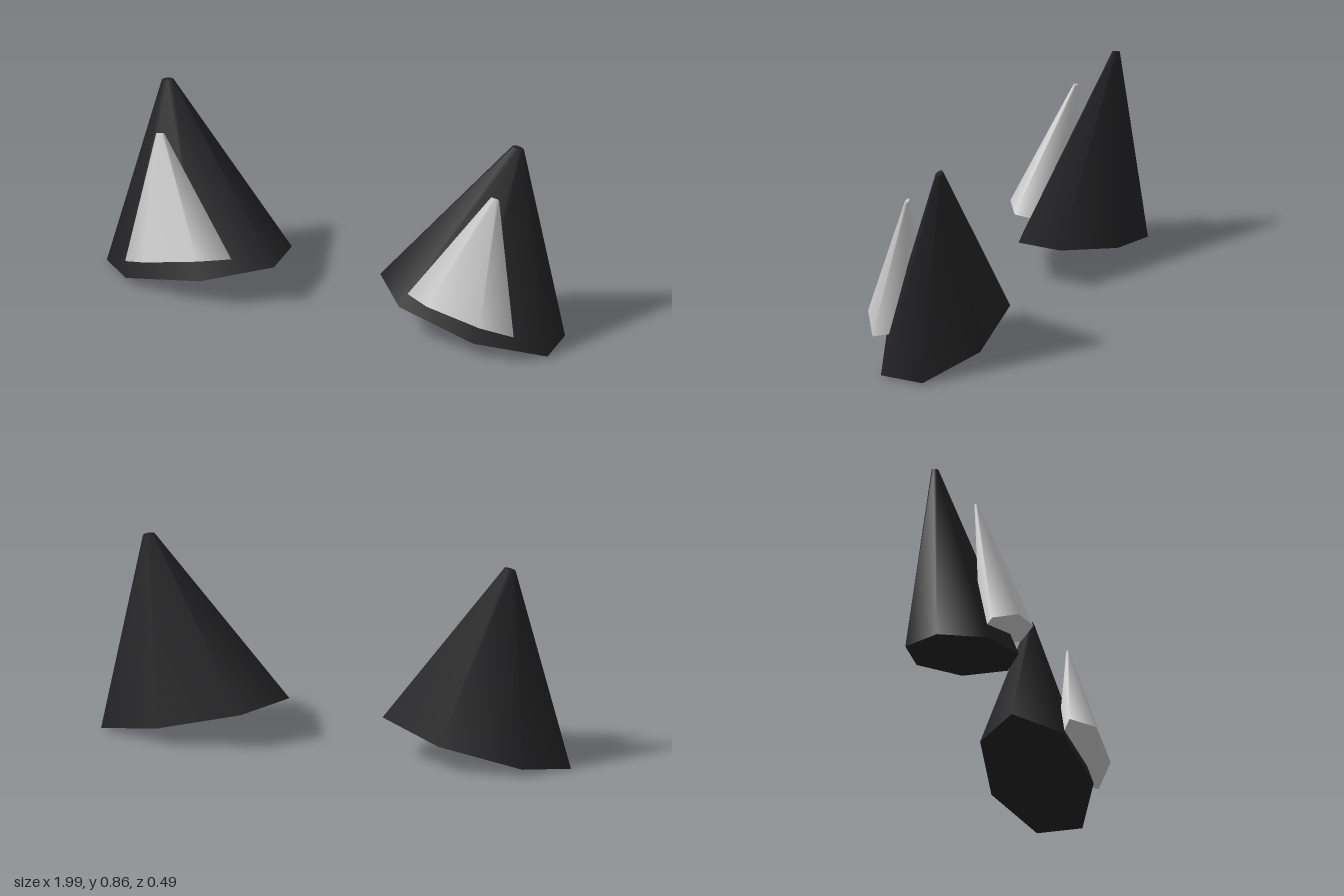
import * as THREE from 'three';

// Tapered cone sheared so its base is centred at `base` and its tip at `tip`.
// rx, rz: base radii; slopeX, slopeZ: tilt of the base plane.
function leaningCone(name, { sides, taper, base, tip, rx, rz, slopeX, slopeZ, material }) {
  const geometry = new THREE.CylinderGeometry(taper, 1, 1, sides, 1, false, -Math.PI / 2);
  geometry.translate(0, 0.5, 0);
  const origin = new THREE.Vector3(...base);
  const axis = new THREE.Vector3(...tip).sub(origin);
  const matrix = new THREE.Matrix4().makeBasis(
    new THREE.Vector3(rx, rx * slopeX, 0),
    axis,
    new THREE.Vector3(0, rz * slopeZ, rz)
  ).setPosition(origin);
  geometry.applyMatrix4(matrix);
  const mesh = new THREE.Mesh(geometry, material);
  mesh.name = name;
  return mesh;
}

export function createModel() {
  const model = new THREE.Group();
  model.name = 'ears';
  const fur = new THREE.MeshStandardMaterial({ color: 0x222224 });
  const lining = new THREE.MeshStandardMaterial({ color: 0xcccccc });

  // The two ears share their section but lean by slightly different amounts
  const ears = [
    { name: 'right', slope: 0.224, outerX: -0.59, outerTipX: -0.76, innerX: -0.605, innerTipX: -0.725 },
    { name: 'left', slope: -0.226, outerX: 0.62, outerTipX: 0.793, innerX: 0.645, innerTipX: 0.758 },
  ];

  for (const e of ears) {
    const ear = new THREE.Group();
    ear.name = e.name + 'Ear';

    // Dark seven-sided outer ear
    ear.add(leaningCone(e.name + 'OuterEar', {
      sides: 7, taper: 0.06, rx: 0.41, rz: 0.222, slopeX: e.slope, slopeZ: 0,
      base: [e.outerX, 0.097, -0.03], tip: [e.outerTipX, 0.864, -0.1], material: fur,
    }));

    // Pale six-sided inner ear set into the front
    ear.add(leaningCone(e.name + 'InnerEar', {
      sides: 6, taper: 0.075, rx: 0.235, rz: 0.095, slopeX: e.slope, slopeZ: 0.4,
      base: [e.innerX, 0.182, 0.163], tip: [e.innerTipX, 0.702, 0.066], material: lining,
    }));

    model.add(ear);
  }
  return model;
}
